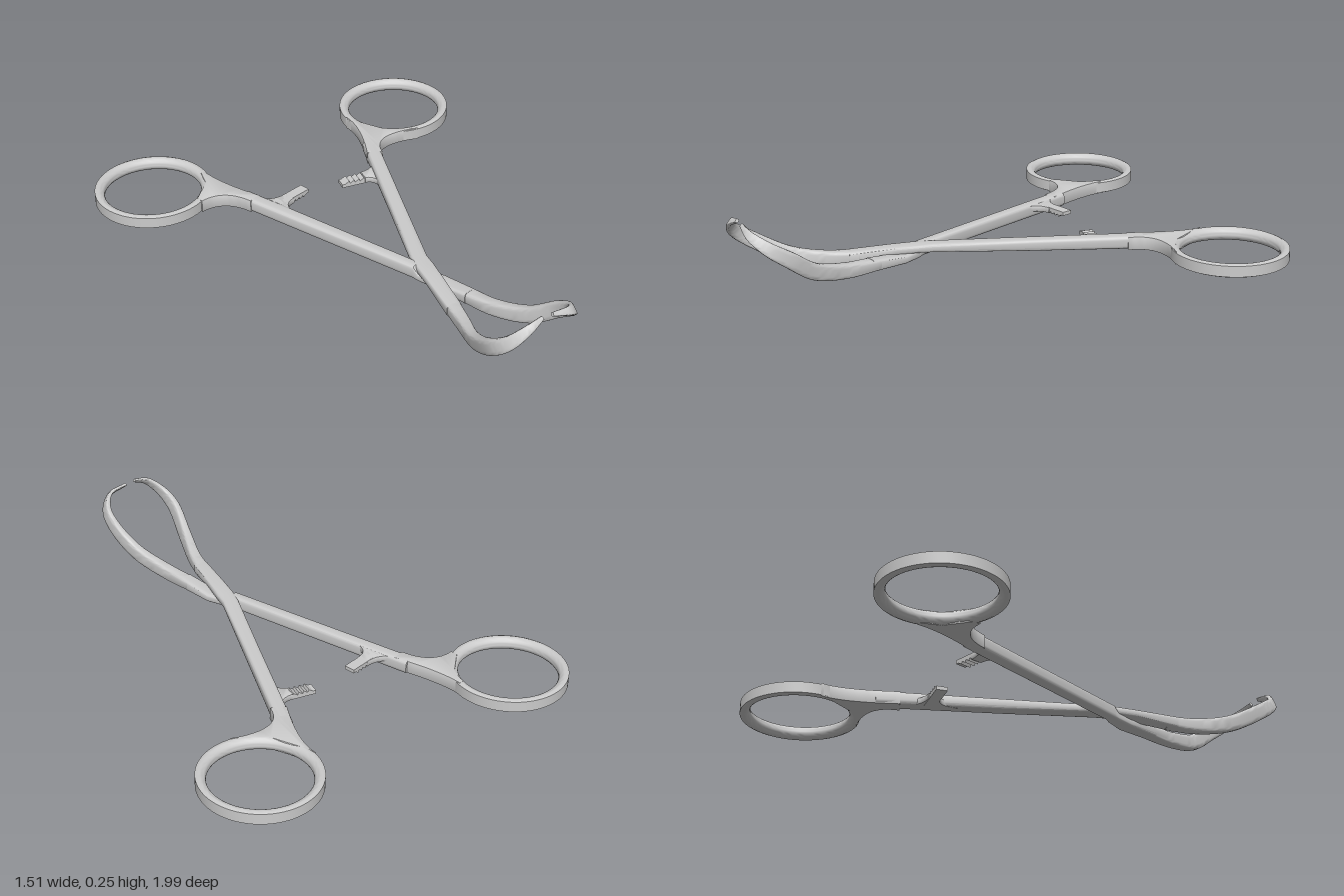
import * as THREE from 'three';
import { toCreasedNormals } from 'three/addons/utils/BufferGeometryUtils.js';

const steel = new THREE.MeshStandardMaterial({ color: 0xcccccc });
const LOW = 0.007, HIGH = 0.058;

function part(name, geometry, crease = 0.6) {
  const mesh = new THREE.Mesh(toCreasedNormals(geometry, crease), steel);
  mesh.name = name;
  return mesh;
}

// Skins a rounded bar over stations of { p, T, w, h, tilt }.
function skin(stations) {
  const sides = 20, last = stations.length - 1;
  const pos = [], index = [];
  const soft = v => Math.sign(v) * Math.pow(Math.abs(v), 0.45);
  stations.forEach(({ p, T, w, h, tilt }) => {
    const S = new THREE.Vector3(0, Math.cos(tilt), -Math.sin(tilt)).cross(T).normalize();
    const U = T.clone().cross(S);
    for (let j = 0; j < sides; j++) {
      const a = ((j + 0.5) / sides) * Math.PI * 2;
      const v = p.clone()
        .addScaledVector(S, soft(Math.cos(a)) * w / 2)
        .addScaledVector(U, soft(Math.sin(a)) * h / 2);
      pos.push(...v.toArray());
    }
  });
  const end = stations.length * sides;
  pos.push(...stations[0].p.toArray(), ...stations[last].p.toArray());
  for (let j = 0; j < sides; j++) {
    const k = (j + 1) % sides;
    for (let i = 0; i < last; i++) {
      const a = i * sides + j, b = i * sides + k;
      index.push(a, b, a + sides, b, b + sides, a + sides);
    }
    index.push(end, k, j, end + 1, last * sides + j, last * sides + k); // end caps
  }
  const g = new THREE.BufferGeometry();
  g.setAttribute('position', new THREE.Float32BufferAttribute(pos, 3));
  g.setIndex(index);
  return g;
}

// Straight bar with a half-thickness lap; rows of [x, z, bottom, top, width].
function shank(...rows) {
  const stations = rows.map(([x, z, bottom, top, w], i) => {
    const a = rows[Math.max(i - 1, 0)], b = rows[Math.min(i + 1, rows.length - 1)];
    return {
      p: new THREE.Vector3(x, (bottom + top) / 2, z),
      T: new THREE.Vector3(b[0] - a[0], 0, b[1] - a[1]).normalize(),
      w, h: top - bottom, tilt: 0,
    };
  });
  return part('shank', skin(stations));
}

// Upswept hooked jaw through [x, y, z] points, thinning to its tip.
function jaw(...points) {
  const curve = new THREE.CatmullRomCurve3(points.map(p => new THREE.Vector3(...p)));
  const stations = [];
  for (let i = 0; i <= 48; i++) {
    const t = i / 48;
    stations.push({
      p: curve.getPoint(t),
      T: curve.getTangent(t),
      w: 0.011 + 0.043 * Math.pow(1 - t, 1.3),
      h: 0.014 + 0.046 * Math.sin(Math.PI * (0.2 + 0.8 * t)),
      tilt: 0.7 * THREE.MathUtils.smoothstep(t, 0, 0.6),
    });
  }
  return part('jaw', skin(stations), 0.7);
}

// Finger ring: flat outside wall, rounded inside.
function fingerRing(x, z) {
  const mid = (LOW + HIGH) / 2, half = (HIGH - LOW) / 2;
  const profile = [];
  for (let i = 0; i <= 12; i++) {
    const a = Math.PI / 2 + (i / 12) * Math.PI;
    profile.push(new THREE.Vector2(0.206 + Math.cos(a) * 0.026, mid + Math.sin(a) * half));
  }
  profile.push(new THREE.Vector2(0.217, LOW + 0.005), new THREE.Vector2(0.217, HIGH - 0.005), profile[0].clone());
  const mesh = part('fingerRing', new THREE.LatheGeometry(profile, 72), 0.7);
  mesh.position.set(x, 0, z);
  return mesh;
}

// Flat plate from height y0 to y1; edges are [x, z] lines or [cx, cz, x, z] curves.
function plate(name, y0, y1, start, ...edges) {
  const bevel = 0.004;
  const shape = new THREE.Shape();
  shape.moveTo(start[0], -start[1]);
  for (const e of edges) {
    if (e.length === 2) shape.lineTo(e[0], -e[1]);
    else shape.quadraticCurveTo(e[0], -e[1], e[2], -e[3]);
  }
  const g = new THREE.ExtrudeGeometry(shape, {
    depth: y1 - y0 - 2 * bevel, bevelThickness: bevel, bevelSize: bevel, bevelOffset: -bevel, bevelSegments: 2,
  });
  g.rotateX(-Math.PI / 2).translate(0, y0 + bevel, 0);
  return part(name, g);
}

// Toothed catch bar; teeth stand on its top (dir = 1) or hang below (dir = -1).
function ratchet(from, to, base, dir) {
  const dx = to[0] - from[0], dz = to[1] - from[1], length = Math.hypot(dx, dz);
  const teeth = 4, start = length * 0.4, step = (length - start - 0.012) / teeth;
  const shape = new THREE.Shape();
  shape.moveTo(0, 0);
  shape.lineTo(length, 0);
  shape.lineTo(length, dir * 0.014);
  for (let i = teeth; i > 0; i--) {
    shape.lineTo(start + i * step, dir * 0.014);
    shape.lineTo(start + (i - 0.8) * step, dir * 0.024);
  }
  shape.lineTo(start, dir * 0.018);
  shape.lineTo(0, dir * 0.018);
  const g = new THREE.ExtrudeGeometry(shape, { depth: 0.042, bevelEnabled: false });
  g.translate(0, 0, -0.021).rotateY(Math.atan2(-dz, dx)).translate(from[0], base, from[1]);
  return part('ratchet', g, 0.3);
}

function arm(name, ...parts) {
  const group = new THREE.Group();
  group.name = name;
  group.add(...parts);
  return group;
}

export function createModel() {
  const model = new THREE.Group();
  model.name = 'ringHandledForceps';

  // Lower arm: passes underneath at the crossing
  model.add(arm('lowerArm',
    fingerRing(-0.54, -0.782),
    plate('ringNeck', LOW, HIGH, [-0.336, -0.725], [-0.345, -0.62, -0.294, -0.45], [-0.345, -0.445],
      [-0.365, -0.575, -0.474, -0.57], [-0.474, -0.598], [-0.384, -0.661], [-0.354, -0.725]),
    shank([-0.325, -0.5, LOW, HIGH, 0.053], [-0.191, 0.275, LOW, HIGH, 0.045],
      [-0.186, 0.295, 0.005, 0.035, 0.05], [-0.168, 0.37, 0.005, 0.035, 0.062],
      [-0.163, 0.51, 0.005, 0.05, 0.054]),
    plate('ratchetRoot', 0.03, 0.054, [-0.294, -0.44], [-0.28, -0.395, -0.21, -0.397], [-0.21, -0.352],
      [-0.275, -0.35, -0.27, -0.27], [-0.286, -0.27], [-0.315, -0.44]),
    ratchet([-0.28, -0.372], [-0.133, -0.38], 0.054, -1),
    jaw([-0.163, 0.026, 0.48], [-0.154, 0.033, 0.62], [-0.132, 0.068, 0.76], [-0.117, 0.14, 0.87],
      [-0.135, 0.188, 0.94], [-0.185, 0.226, 0.976], [-0.262, 0.245, 0.966]),
  ));

  // Upper arm: passes above at the crossing
  model.add(arm('upperArm',
    fingerRing(0.537, -0.593),
    plate('ringNeck', LOW, HIGH, [0.325, -0.646], [0.325, -0.56, 0.2, -0.39], [0.25, -0.355],
      [0.3, -0.48, 0.474, -0.386], [0.431, -0.423], [0.373, -0.481], [0.338, -0.593]),
    shank([0.27, -0.45, LOW, HIGH, 0.056], [0.03, -0.05, 0.017, 0.06, 0.056],
      [-0.148, 0.245, 0.028, 0.06, 0.06], [-0.172, 0.3, 0.031, 0.061, 0.066],
      [-0.204, 0.38, 0.031, 0.061, 0.062], [-0.266, 0.535, 0.012, 0.058, 0.056]),
    plate('ratchetRoot', 0.012, 0.036, [0.19, -0.35], [0.16, -0.32, 0.11, -0.333], [0.095, -0.29],
      [0.135, -0.27, 0.105, -0.2], [0.124, -0.21], [0.197, -0.33]),
    ratchet([0.16, -0.289], [0.016, -0.344], 0.011, 1),
    jaw([-0.25, 0.036, 0.5], [-0.3, 0.037, 0.61], [-0.362, 0.06, 0.725], [-0.415, 0.135, 0.855],
      [-0.407, 0.182, 0.918], [-0.363, 0.228, 0.954], [-0.303, 0.25, 0.96]),
  ));

  return model;
}
